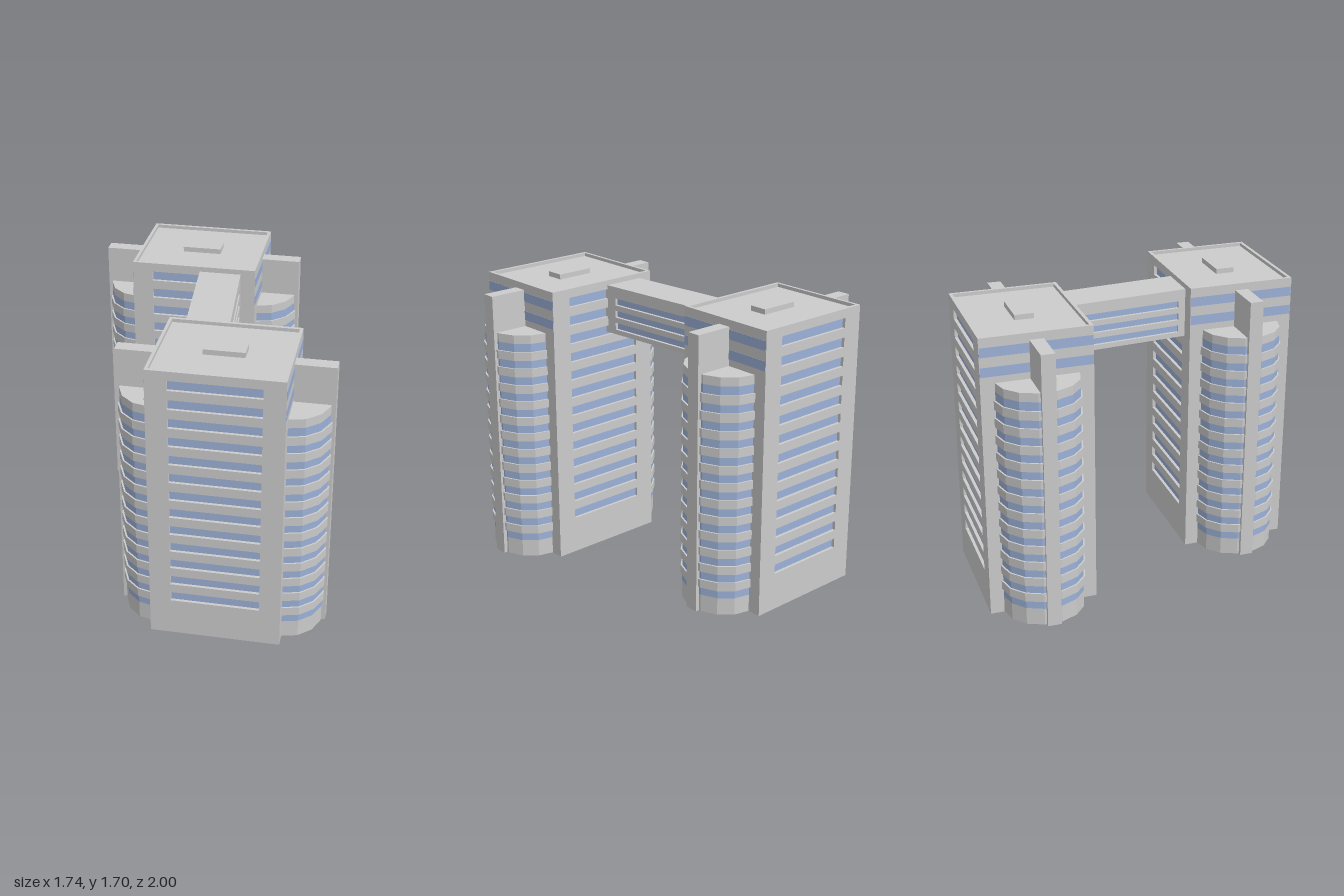
import * as THREE from 'three';

const grey = new THREE.MeshStandardMaterial({ color: 0xcccccc, flatShading: true });
const blue = new THREE.MeshStandardMaterial({ color: 0x9cb1d8, flatShading: true });

const W = 0.745, D = 0.634, H = 1.69; // tower size
const RECESS = 0.02;                  // window depth

function add(parent, name, geometry, material, x = 0, y = 0, z = 0) {
  const mesh = new THREE.Mesh(geometry, material);
  mesh.name = name;
  mesh.position.set(x, y, z);
  parent.add(mesh);
  return mesh;
}

const box = (w, h, d) => new THREE.BoxGeometry(w, h, d);

function rect(target, x0, y0, x1, y1) {
  target.moveTo(x0, y0);
  target.lineTo(x1, y0);
  target.lineTo(x1, y1);
  target.lineTo(x0, y1);
  target.closePath();
  return target;
}

// Wall slab with horizontal window slots and glass behind; outer face at z = 0
function facade(name, width, height, slotWidth, slotHeight, rows) {
  const group = new THREE.Group();
  group.name = name;
  const shape = rect(new THREE.Shape(), -width / 2, 0, width / 2, height);
  for (const y of rows) {
    shape.holes.push(rect(new THREE.Path(), -slotWidth / 2, y - slotHeight / 2, slotWidth / 2, y + slotHeight / 2));
    add(group, 'windowGlass', box(slotWidth, slotHeight, 0.004), blue, 0, y, -RECESS);
  }
  const wall = new THREE.ExtrudeGeometry(shape, { depth: RECESS, bevelEnabled: false });
  add(group, 'wall', wall, grey, 0, 0, -RECESS);
  return group;
}

// Half-ellipse prism with seven facets, bulging towards +x
function halfPrism(a, b, height) {
  const points = [];
  for (let i = 0; i <= 7; i++) {
    const t = -Math.PI / 2 + (i * Math.PI) / 7;
    points.push(new THREE.Vector2(a * Math.cos(t), b * Math.sin(t)));
  }
  const shape = new THREE.Shape(points);
  return new THREE.ExtrudeGeometry(shape, { depth: height, bevelEnabled: false }).rotateX(-Math.PI / 2);
}

// Faceted bay with alternating glass and slabs, plus its tall fin
function createBay() {
  const bay = new THREE.Group();
  bay.name = 'bay';
  const a = 0.21, b = 0.236, pitch = 0.1018, first = 0.105, glass = 0.05, floors = 13;
  add(bay, 'bayBase', halfPrism(a, b, first), grey);
  for (let i = 0; i < floors; i++) {
    const y = first + i * pitch;
    add(bay, 'bayGlass', halfPrism(a, b, glass), blue, 0, y);
    const last = i === floors - 1;
    const grow = last ? 0 : 0.01;
    add(bay, last ? 'bayRoof' : 'baySlab', halfPrism(a + grow, b + grow, pitch - glass), grey, 0, y + glass);
  }
  add(bay, 'fin', box(0.228, 1.65, 0.08), grey, 0.114, 0.825, 0);
  bay.position.x = W / 2;
  return bay;
}

function createTower(name) {
  const tower = new THREE.Group();
  tower.name = name;
  const roofY = H - 0.02;
  const coreDepth = D - 2 * RECESS;
  add(tower, 'core', box(W, roofY, coreDepth), grey, 0, roofY / 2);
  add(tower, 'roofHatch', box(0.23, 0.03, 0.11), grey, 0, roofY + 0.015);
  const rows = Array.from({ length: 13 }, (_, i) => 0.255 + i * 0.1127);

  // Each half turn adds one long facade and one end of the tower
  for (const turn of [0, Math.PI]) {
    const half = new THREE.Group();
    half.name = 'towerHalf';
    half.rotation.y = turn;
    const front = facade('facade', W, H, 0.505, 0.058, rows);
    front.position.z = D / 2;
    half.add(front, createBay());
    add(half, 'sideParapet', box(0.018, 0.02, coreDepth), grey, W / 2 - 0.009, roofY + 0.01);
    for (const y of rows.slice(-2)) {
      add(half, 'sideBand', box(0.006, 0.055, D - 0.004), blue, W / 2 - 0.001, y);
    }
    tower.add(half);
  }
  return tower;
}

function createBridge() {
  const bridge = new THREE.Group();
  bridge.name = 'bridge';
  const width = 0.248, height = 0.29, length = 0.76;
  add(bridge, 'bridgeCore', box(width - 2 * RECESS, height, length), grey, 0, height / 2);
  for (const side of [1, -1]) {
    const wall = facade('bridgeSide', length, height, 0.6, 0.042, [0.05, 0.125, 0.2]);
    wall.rotation.y = (side * Math.PI) / 2;
    wall.position.x = (side * width) / 2;
    bridge.add(wall);
  }
  bridge.position.y = 1.37;
  bridge.rotation.y = 0.2;
  return bridge;
}

export function createModel() {
  const model = new THREE.Group();
  model.name = 'twinTowers';
  for (const side of [1, -1]) {
    const tower = createTower(side > 0 ? 'frontTower' : 'backTower');
    tower.position.set(side * 0.267, 0, side * 0.642);
    tower.rotation.y = 0.115;
    model.add(tower);
  }
  model.add(createBridge());
  return model;
}
